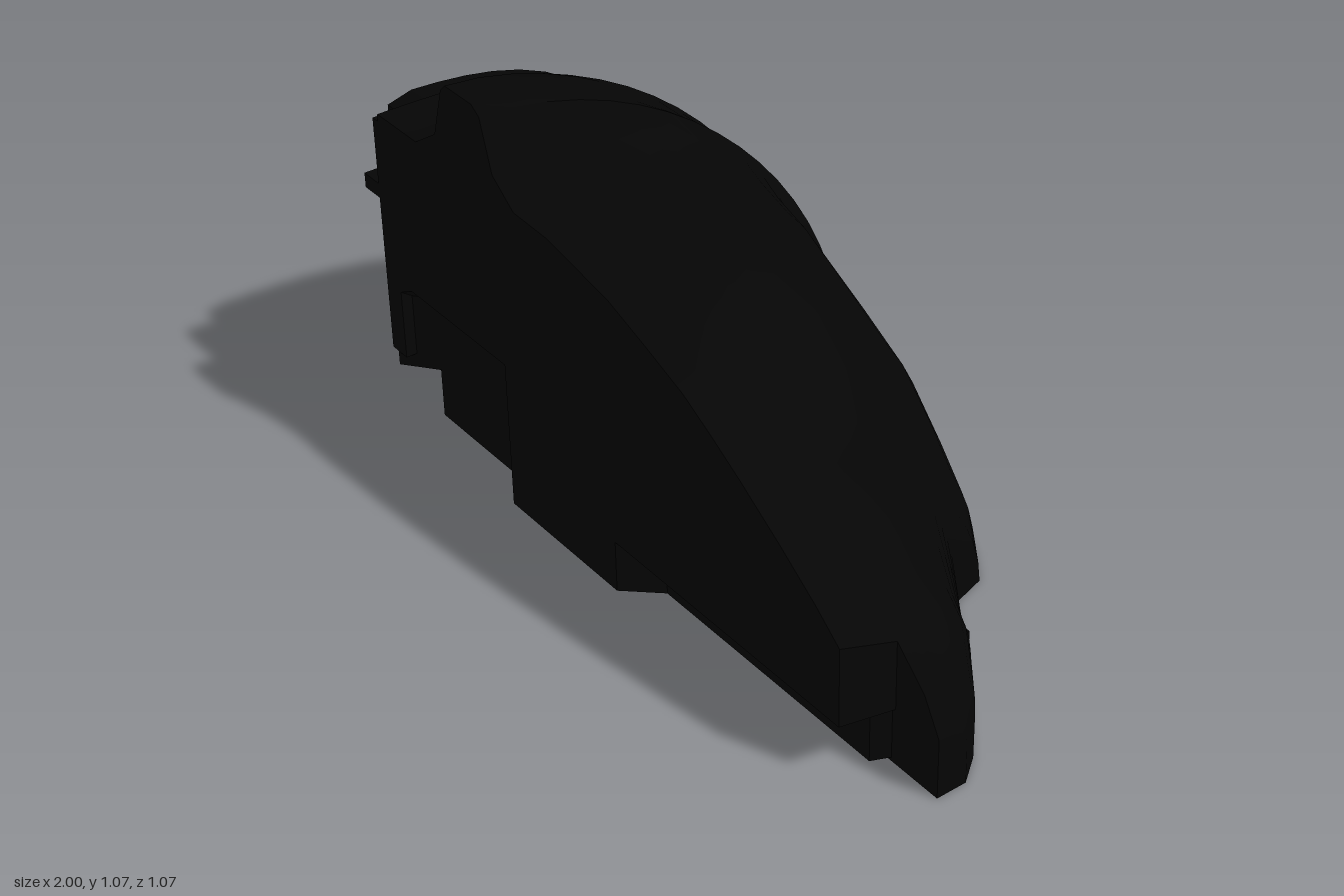
import * as THREE from 'three';
import { toCreasedNormals } from 'three/addons/utils/BufferGeometryUtils.js';

const FRONT = 0.53, BASE = 0.01, ROOF = 0.16, RECESS = 0.46, SEG = 18;

// Sections along x: [x, height, depth behind the front plane, squareness]
const SECTIONS = [
  [-0.91, 0.87, 0.86, 3.1], [-0.82, 0.87, 0.86, 3.2], [-0.74, 0.87, 0.86, 3.4],
  [-0.65, 0.93, 0.92, 2.7], [-0.61, 1.06, 1.05, 1.86], [-0.59, 1.08, 1.07, 1.74],
  [-0.48, 1.08, 1.07, 1.74], [-0.45, 1.06, 1.05, 1.86], [-0.41, 0.93, 0.92, 2.65],
  [-0.33, 0.87, 0.86, 3.2], [-0.2, 0.865, 0.85, 2.95], [0.03, 0.82, 0.815, 2.65],
  [0.17, 0.77, 0.82, 2.3], [0.3, 0.72, 0.785, 2.05], [0.4, 0.665, 0.76, 1.8],
  [0.5, 0.605, 0.69, 1.75], [0.53, 0.585, 0.59, 2.1], [0.63, 0.52, 0.515, 2.3],
  [0.75, 0.435, 0.425, 2.8], [0.83, 0.37, 0.37, 4], [0.86, 0.345, 0.345, 4.5],
  [0.95, 0.26, 0.275, 7], [1, 0.17, 0.21, 9],
];

// Quarter arc of [y, z] points from the top at the front plane round to the base at the back
function arc(h, d, n) {
  const pts = [];
  for (let j = 0; j <= SEG; j++) {
    const a = (j / SEG) * Math.PI / 2;
    const c = Math.max(0, Math.cos(a)), s = Math.sin(a);
    const r = Math.pow(Math.pow(c / (h - BASE), n) + Math.pow(s / d, n), -1 / n);
    pts.push([BASE + r * c, FRONT - r * s]);
  }
  return pts;
}

// Closed sections: curved outside, flat front with a low recess, shallow hollow underneath
function shellGeometry() {
  const pos = [], idx = [], ring = SEG + 6;
  const last = SECTIONS.length;
  for (let i = 0; i <= last; i++) {
    const [x, h, d, n] = SECTIONS[Math.min(i, last - 1)];
    const roof = i === last ? BASE : Math.min(ROOF, h - 0.04);
    const back = FRONT - Math.min(d - 0.05, 0.8);
    const limit = x > 0.84 ? 0.4 : FRONT;
    const low = x > -0.9 && x < -0.42 ? RECESS : FRONT;
    const loop = [...arc(h, d, n), [BASE, back], [roof, back], [roof, low],
      [Math.min(0.37, h - 0.02), low], [Math.min(0.42, h - 0.01), FRONT]];
    loop.forEach(([y, z]) => pos.push(x, y, Math.min(z, limit)));
  }
  for (let i = 0; i < last; i++) {
    for (let j = 0; j < ring; j++) {
      const k = (j + 1) % ring, a = i * ring, b = a + ring;
      idx.push(a + j, b + j, b + k, a + j, b + k, a + k);
    }
  }
  // Flat cap on the tip
  for (let j = 1; j < ring - 1; j++) idx.push(last * ring, last * ring + j + 1, last * ring + j);
  const g = new THREE.BufferGeometry();
  g.setAttribute('position', new THREE.Float32BufferAttribute(pos, 3));
  g.setIndex(idx);
  return toCreasedNormals(g, 0.7);
}

const toPoints = pts => pts.map(([x, y]) => new THREE.Vector2(x, y));

function extrude(shape, depth) {
  return new THREE.ExtrudeGeometry(shape, { depth, bevelEnabled: false });
}

export function createModel() {
  const group = new THREE.Group();
  const black = new THREE.MeshStandardMaterial({ color: 0x050505, side: THREE.DoubleSide });
  black.name = 'matte black';

  function add(name, geometry, x = 0, y = 0, z = 0) {
    const m = new THREE.Mesh(geometry, black);
    m.name = name;
    m.position.set(x, y, z);
    group.add(m);
    return m;
  }
  function box(name, x0, x1, y0, y1, z0, z1) {
    return add(name, new THREE.BoxGeometry(x1 - x0, y1 - y0, z1 - z0),
      (x0 + x1) / 2, (y0 + y1) / 2, (z0 + z1) / 2);
  }

  // Curved body with the ridge that rises at the top and at the back
  add('shell', shellGeometry());

  // Skirt along the flat front, drawn in plan, stepping back toward the tip
  const skirt = add('frontSkirt', extrude(new THREE.Shape(toPoints([
    [-0.85, 0.4], [0.85, 0.4], [0.83, 0.445], [0.1, 0.445], [0.02, FRONT],
    [-0.41, FRONT], [-0.45, RECESS], [-0.83, RECESS],
  ])), 0.145), 0, 0.165);
  skirt.rotation.x = Math.PI / 2;
  box('frontEdge', -0.935, -0.9, 0.2, 0.85, 0.42, FRONT);
  box('tipSkirt', 0.8, 1, BASE, 0.165, 0.37, 0.4);
  box('backRib', 0.735, 0.765, BASE, 0.165, 0.11, 0.145);

  // Panel closing the flat end
  const endArc = arc(0.868, 0.858, 3.1).map(([y, z]) => [z, y]);
  const panel = add('endPanel', extrude(new THREE.Shape(toPoints(
    [...endArc, [0.4, BASE], [0.43, 0.2], [FRONT, 0.2]])), 0.04), -0.872);
  panel.rotation.y = -Math.PI / 2;

  // Raised frame around the recessed end
  const rim = (r, front, low) => [
    [front, low + 0.08], [front, r - 0.02],
    ...arc(r, r - 0.01, 3)
      .filter(([y, z]) => z < front - 0.02 && y > low + 0.06).map(([y, z]) => [z, y]),
    [FRONT - r + 0.04, low], [front - 0.08, low],
  ];
  const frame = new THREE.Shape(toPoints(rim(0.85, 0.45, 0.1)));
  frame.holes.push(new THREE.Path(toPoints(rim(0.75, 0.38, 0.18))));
  const flange = add('endFrame', extrude(frame, 0.09), -0.91);
  flange.rotation.y = -Math.PI / 2;
  box('endTab', -1, -0.92, 0.63, 0.67, 0.42, FRONT);

  // Short mounting bosses in the hollow underneath
  [[0.13, 0.26], [-0.43, 0.02]].forEach(([x, z]) => {
    add('mountingBoss', new THREE.CylinderGeometry(0.075, 0.075, 0.12, 20), x, 0.11, z);
  });

  return group;
}
